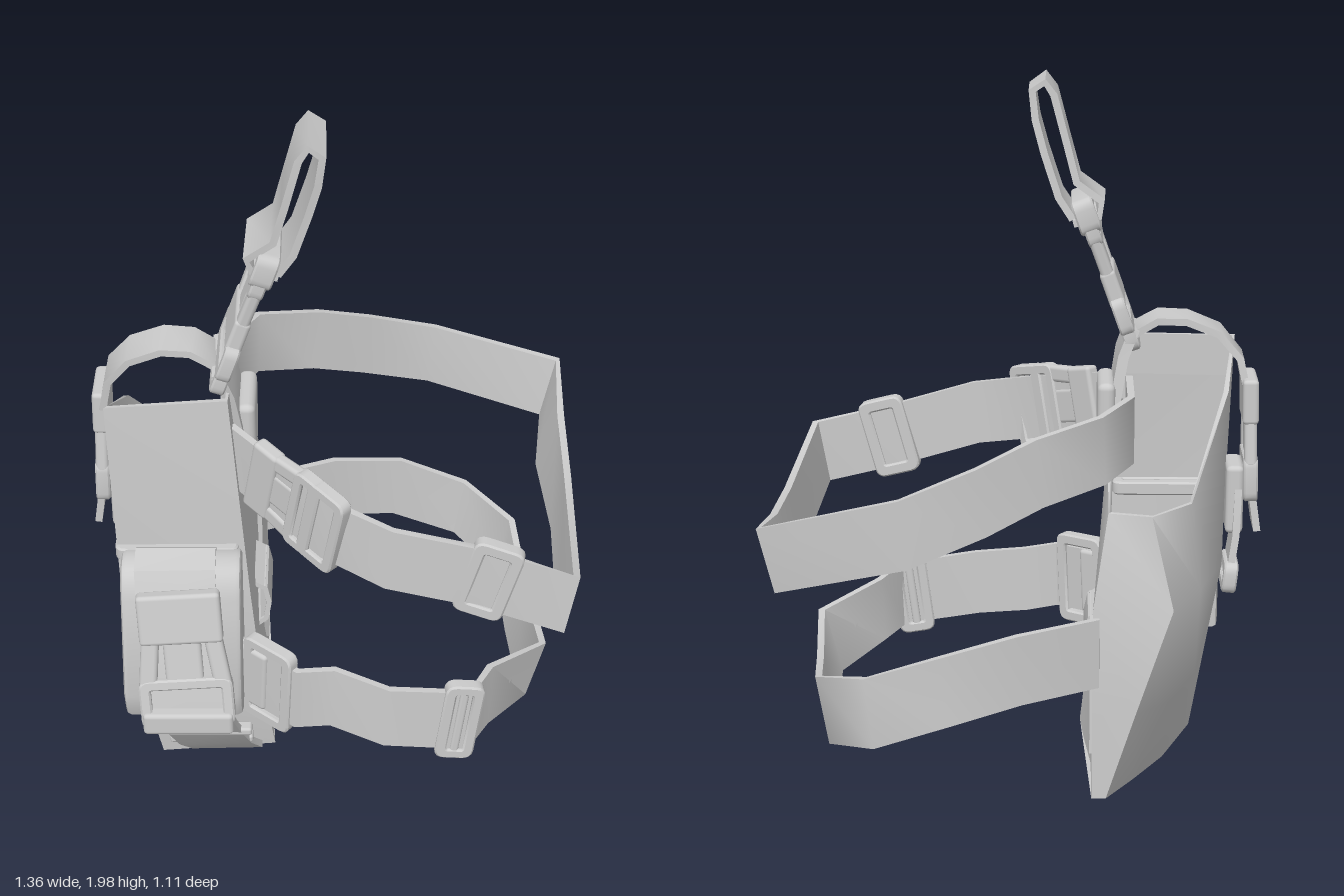
import * as THREE from 'three';
import { toCreasedNormals } from 'three/addons/utils/BufferGeometryUtils.js';
import { RoundedBoxGeometry } from 'three/addons/geometries/RoundedBoxGeometry.js';

const V = (x, y, z) => new THREE.Vector3(x, y, z);
const Y = V(0, 1, 0), Z = V(0, 0, 1), X = V(1, 0, 0);

export function createModel() {
  const model = new THREE.Group();
  const fabric = new THREE.MeshStandardMaterial({ color: 0xcccccc, side: THREE.DoubleSide });
  fabric.name = 'greyFabric';

  const add = (name, geometry, parent = model) => {
    const mesh = new THREE.Mesh(geometry, fabric);
    mesh.name = name;
    parent.add(mesh);
    return mesh;
  };

  // Skin a list of equally sized closed sections
  function loft(sections, capStart, capEnd, crease = 0.75) {
    const pos = [], n = sections[0].length;
    const tri = (...p) => p.forEach(v => pos.push(v.x, v.y, v.z));
    for (let i = 0; i < sections.length - 1; i++) {
      for (let j = 0; j < n; j++) {
        const a = sections[i][j], b = sections[i][(j + 1) % n];
        const c = sections[i + 1][(j + 1) % n], d = sections[i + 1][j];
        tri(a, c, b);
        tri(a, d, c);
      }
    }
    const cap = (s, flip) => {
      for (let j = 1; j < n - 1; j++) flip ? tri(s[0], s[j + 1], s[j]) : tri(s[0], s[j], s[j + 1]);
    };
    if (capStart) cap(sections[0], false);
    if (capEnd) cap(sections.at(-1), true);
    const g = new THREE.BufferGeometry();
    g.setAttribute('position', new THREE.Float32BufferAttribute(pos, 3));
    return toCreasedNormals(g, crease);
  }

  // Flat webbing along points [x, y, z, lean], its width lying along an axis
  function webbing(name, points, width, axis, thick = 0.02) {
    const p = points.map(([x, y, z]) => V(x, y, z));
    const sections = p.map((c, i) => {
      const t = p[Math.min(i + 1, p.length - 1)].clone().sub(p[Math.max(i - 1, 0)]).normalize();
      const n = t.clone().cross(axis).normalize();
      const w = axis.clone().addScaledVector(t, -0.45 * t.dot(axis)).addScaledVector(n, points[i][3] ?? 0).normalize();
      return [[1, 1], [-1, 1], [-1, -1], [1, -1]].map(([a, b]) =>
        c.clone().addScaledVector(w, a * width / 2).addScaledVector(n, b * thick / 2));
    });
    return add(name, loft(sections, true, true));
  }

  // Group whose local x follows a direction and local y the webbing width
  function mount(name, position, along, widthAxis) {
    const g = new THREE.Group();
    g.name = name;
    const x = along.clone().normalize(), z = x.clone().cross(widthAxis).normalize();
    g.quaternion.setFromRotationMatrix(new THREE.Matrix4().makeBasis(x, z.clone().cross(x), z));
    g.position.copy(position);
    model.add(g);
    return g;
  }
  const onStrap = (name, pts, i, f) => {
    const a = V(...pts[i]), b = V(...pts[i + 1]);
    return mount(name, a.clone().lerp(b, f), b.clone().sub(a), Y);
  };

  function roundRect(path, w, h, r) {
    const x = w / 2, y = h / 2;
    path.moveTo(-x + r, -y).lineTo(x - r, -y).quadraticCurveTo(x, -y, x, -y + r)
      .lineTo(x, y - r).quadraticCurveTo(x, y, x - r, y)
      .lineTo(-x + r, y).quadraticCurveTo(-x, y, -x, y - r)
      .lineTo(-x, -y + r).quadraticCurveTo(-x, -y, -x + r, -y);
    return path;
  }
  // Rounded rectangular loop
  function ring(parent, name, w, h, x = 0, bar = 0.022, depth = 0.03) {
    const s = roundRect(new THREE.Shape(), w, h, 0.025);
    s.holes.push(roundRect(new THREE.Path(), w - 2 * bar, h - 2 * bar, 0.01));
    const g = new THREE.ExtrudeGeometry(s, {
      depth, curveSegments: 4, bevelEnabled: true, bevelSize: 0.005, bevelThickness: 0.005, bevelSegments: 1,
    });
    const m = add(name, toCreasedNormals(g.translate(0, 0, -depth / 2), 0.7), parent);
    m.position.x = x;
    return m;
  }
  function block(parent, name, size, at, r = 0.012) {
    const m = add(name, new RoundedBoxGeometry(...size, 2, r), parent);
    m.position.set(...at);
    return m;
  }
  // Side-release clip: socket, two prongs and a slotted end loop
  function clip(parent, length, width) {
    block(parent, 'clipSocket', [length * 0.36, width * 0.92, 0.045], [-length * 0.3, 0, 0]);
    for (const s of [-1, 1]) {
      const prong = block(parent, 'clipProng', [length * 0.4, width * 0.2, 0.036], [0.02 * length, s * width * 0.38, 0]);
      prong.rotation.z = s * 0.12;
    }
    block(parent, 'clipTongue', [length * 0.4, width * 0.42, 0.028], [0, 0, 0]);
    ring(parent, 'clipEndLoop', length * 0.34, width, length * 0.32);
  }

  // Holster shell: open-topped, closing to a wedge at the lower back
  const shell = [
    [[-.17, .03, .25], [-.5, .01, .26], [-.41, .02, 0], [-.32, .04, -.2], [-.24, .05, -.35], [-.2, .05, -.35], [-.2, .04, -.1], [-.18, .03, .1]],
    [[-.2, .28, .29], [-.55, .28, .29], [-.5, .28, 0], [-.42, .28, -.2], [-.32, .3, -.345], [-.2, .3, -.345], [-.22, .28, -.1], [-.21, .28, .1]],
    [[-.23, .62, .29], [-.59, .62, .29], [-.57, .62, 0], [-.5, .62, -.2], [-.42, .6, -.33], [-.2, .6, -.335], [-.23, .62, -.1], [-.23, .62, .1]],
    [[-.28, 1.24, .25], [-.61, 1.23, .27], [-.58, 1.12, .04], [-.47, .87, -.21], [-.36, .85, -.27], [-.24, .86, -.27], [-.24, 1.0, -.08], [-.27, 1.22, .06]],
  ].map(level => level.map(q => V(...q)));
  add('holsterShell', loft(shell, true, false, 0.9));
  // Turned-in hem around the mouth
  const centre = V(-.4, 1.03, 0);
  const inner = shell[3].map(p =>
    p.clone().add(V(centre.x - p.x, 0, centre.z - p.z).normalize().multiplyScalar(0.015)));
  add('mouthHem', loft([shell[3], inner, inner.map(p => p.clone().setY(p.y - 0.12))], false, false));

  // Upper leg strap
  const upper = [[-.28, 1.04, .2], [-.18, 1.01, .29], [-.02, .96, .44], [.15, .92, .52], [.4, .85, .51], [.63, .785, .545, .15],
    [.655, .74, .02, .15], [.645, .76, -.27, .3], [.66, .8, -.5, .2], [.3, .89, -.55], [.1, .96, -.49], [-.05, 1.02, -.42],
    [-.22, 1.06, -.34], [-.3, 1.07, -.18], [-.3, 1.07, .04]];
  webbing('upperLegStrap', upper, 0.19, Y);
  clip(onStrap('upperStrapClip', upper, 1, 0.3), 0.25, 0.25);
  ring(onStrap('upperStrapRing', upper, 1, 0.97), 'ring', 0.12, 0.25, 0, 0.022, 0.03);
  ring(onStrap('upperStrapSlider', upper, 4, 0.07), 'slider', 0.13, 0.23, 0, 0.025, 0.03);

  // Lower leg strap
  const lower = [[-.24, .42, .38], [-.1, .41, .49], [0, .4, .47], [.15, .37, .52], [.38, .34, .5], [.44, .33, .38], [.58, .29, .22, .25],
    [.555, .27, -.1, .2], [.535, .31, -.35, .15], [.4, .36, -.485], [.2, .43, -.5], [0, .47, -.44], [-.21, .48, -.34], [-.22, .48, -.15]];
  webbing('lowerLegStrap', lower, 0.2, Y);
  ring(onStrap('lowerStrapRing', lower, 0, 0.45), 'ring', 0.16, 0.27, 0, 0.024, 0.03);
  block(onStrap('lowerStrapAnchor', lower, 0, 0.1), 'anchorTab', [0.12, 0.2, 0.04], [0, 0, 0]);
  const slider = onStrap('lowerStrapSlider', lower, 3, 0.88);
  ring(slider, 'slider', 0.1, 0.25, 0, 0.022, 0.03);
  block(slider, 'sliderBar', [0.025, 0.24, 0.035], [0, 0, 0], 0.008);

  // Belt hanger: doubled webbing loop and its clip
  webbing('beltLoop', [[-.14, 1.6, .12], [-.21, 1.62, .12], [-.22, 1.66, .125], [-.15, 1.71, .13], [-.12, 1.82, .14], [-.085, 1.95, .145],
    [-.06, 1.985, .145], [-.025, 1.96, .145], [-.035, 1.88, .14], [-.06, 1.79, .13], [-.1, 1.67, .125], [-.14, 1.61, .12]], 0.2, Z);
  const hanger = mount('hangerClip', V(-.22, 1.5, .12), V(.34, .94, 0), Z);
  clip(hanger, 0.3, 0.23);
  ring(hanger, 'hangerTopLoop', 0.09, 0.24, 0.13, 0.022, 0.05);
  ring(hanger, 'hangerLowerLoop', 0.1, 0.24, -0.17);
  ring(hanger, 'hangerLowerLoop', 0.08, 0.22, -0.23);
  webbing('hangerWebbing', [[-.25, .95, .06], [-.26, 1.1, .08], [-.28, 1.22, .1], [-.31, 1.3, .11]], 0.2, Z, 0.03);
  block(model, 'hangerPatch', [0.05, 0.2, 0.2], [-.235, 1.06, .06], 0.02);

  // Retention strap over the mouth with its outer clip
  webbing('retentionStrap', [[-.28, 1.1, .1], [-.28, 1.22, .1], [-.32, 1.29, .095], [-.38, 1.325, .09], [-.46, 1.325, .08], [-.55, 1.29, .075],
    [-.61, 1.22, .065], [-.635, 1.1, .05], [-.64, .9, .04], [-.665, .73, .03]], 0.13, Z);
  clip(mount('retentionClip', V(-.64, 1.0, .04), V(-.02, -1, 0), Z), 0.36, 0.17);
  block(model, 'retentionAnchor', [0.05, 0.2, 0.14], [-.6, .82, .04], 0.015);
  webbing('retentionTail', [[-.61, .85, .03], [-.605, .72, .01], [-.585, .58, 0]], 0.12, Z);
  ring(mount('retentionTailLoop', V(-.59, .6, 0), V(.1, -1, 0), Z), 'loop', 0.08, 0.15);

  // Front pouch, leaning out towards its foot
  const side = new THREE.Shape();
  side.moveTo(.28, .34).lineTo(.28, .76).quadraticCurveTo(.33, .79, .38, .77)
    .quadraticCurveTo(.41, .75, .42, .68).lineTo(.48, .42).lineTo(.45, .34).closePath();
  const pouch = new THREE.ExtrudeGeometry(side, { depth: 0.3, bevelSize: 0.015, bevelThickness: 0.015, bevelSegments: 2, curveSegments: 6 });
  pouch.rotateY(-Math.PI / 2);
  add('frontPouch', toCreasedNormals(pouch, 0.7)).position.x = -0.265;
  webbing('pouchStrap', [[-.43, .76, .27], [-.43, .8, .33], [-.43, .785, .4], [-.425, .7, .44], [-.41, .5, .485], [-.4, .33, .52]], 0.22, X);
  clip(mount('pouchClip', V(-.41, .55, .485), V(.06, -1, .2), X), 0.42, 0.25);
  block(model, 'pouchClipFoot', [0.25, 0.07, 0.07], [-.4, .36, .515]);
  ring(mount('pouchBackLoop', V(-.43, .77, .27), X, Z), 'loop', 0.33, 0.07);

  // Webbing tail and bands beneath the pouch
  webbing('pouchTail', [[-.39, .36, .5], [-.37, .24, .42], [-.34, .12, .34], [-.31, .05, .28]], 0.21, X);
  for (const [y, z] of [[.22, .4], [.14, .34]]) {
    block(model, 'tailBand', [0.24, 0.025, 0.04], [-.35, y, z], 0.008);
  }

  // Loose tab and stitched loop on the leg side
  const tab = new THREE.Shape();
  tab.moveTo(-.1, .5).lineTo(.1, .5).lineTo(.09, .36).lineTo(-.08, .34).lineTo(-.16, .1).lineTo(-.14, .4).closePath();
  const tabGeo = new THREE.ExtrudeGeometry(tab, { depth: 0.015, bevelEnabled: false });
  add('legSideTab', tabGeo.rotateY(-Math.PI / 2)).position.x = -0.195;
  webbing('legSideLoop', [[-.22, .36, 0], [-.195, .38, 0], [-.185, .44, 0], [-.195, .49, 0], [-.23, .51, 0]], 0.2, Z, 0.015);

  return model;
}
